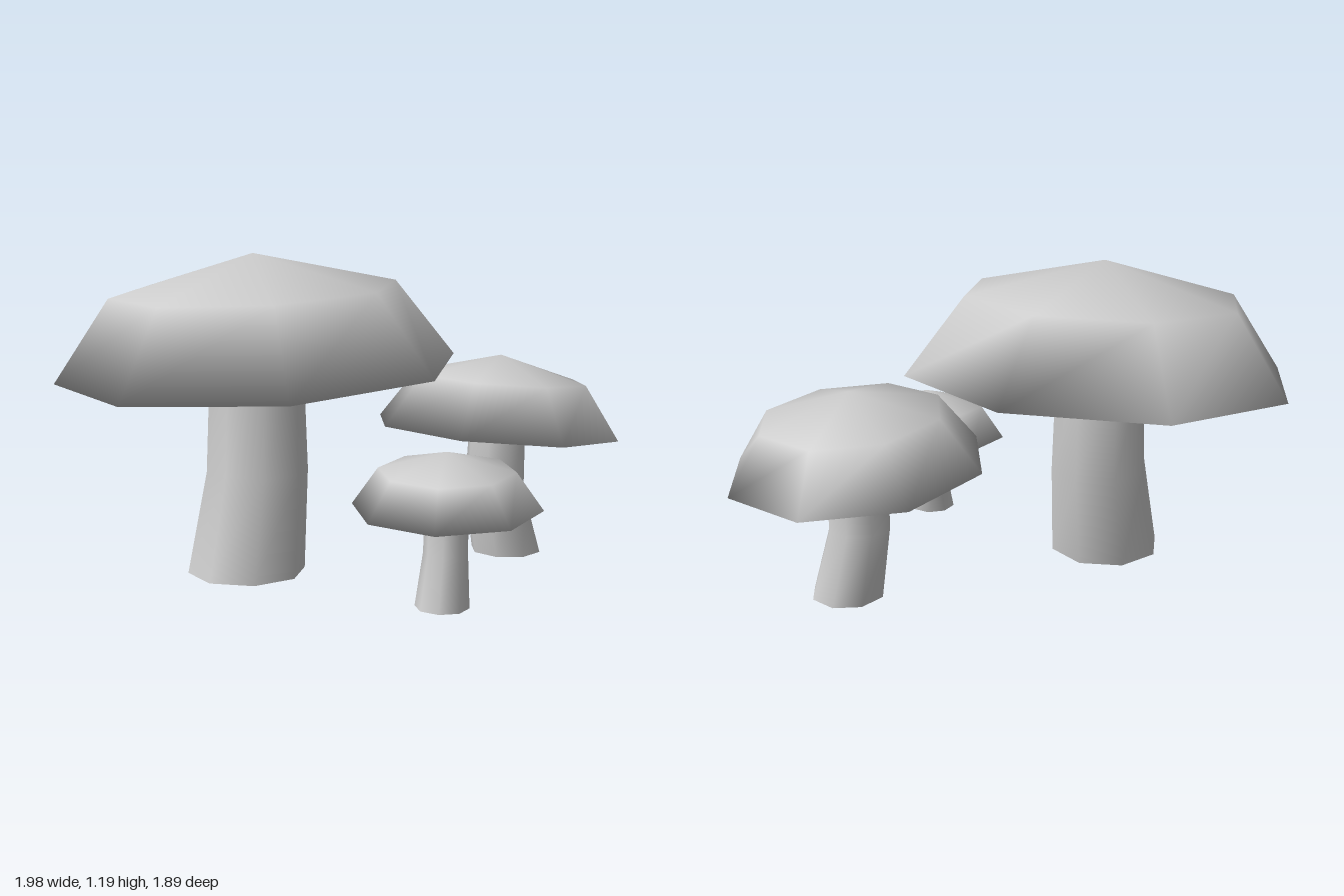
import * as THREE from 'three';

const SIDES = 8;

// Lofts smooth octagonal rings [x, y, z, radius]; optional apex point and flat underside
function loft(rings, phase, apex, closeBottom) {
  const pos = [], idx = [];
  for (const [x, y, z, r] of rings) {
    for (let i = 0; i < SIDES; i++) {
      const a = phase + (i / SIDES) * Math.PI * 2;
      pos.push(x + r * Math.cos(a), y, z + r * Math.sin(a));
    }
  }
  for (let k = 0; k < rings.length - 1; k++) {
    for (let i = 0; i < SIDES; i++) {
      const j = (i + 1) % SIDES, a = k * SIDES, b = a + SIDES;
      idx.push(a + i, b + i, a + j, b + i, b + j, a + j);
    }
  }
  if (apex) {
    const top = (rings.length - 1) * SIDES, tip = pos.length / 3;
    pos.push(...apex);
    for (let i = 0; i < SIDES; i++) idx.push(top + i, tip, top + ((i + 1) % SIDES));
  }
  if (closeBottom) for (let i = 1; i < SIDES - 1; i++) idx.push(0, i, i + 1);

  const g = new THREE.BufferGeometry();
  g.setAttribute('position', new THREE.Float32BufferAttribute(pos, 3));
  g.setIndex(idx);
  g.computeVertexNormals();
  return g;
}

// centre: middle of the cap rim; tilt: [about x, about z]; stem: rings from the ground up
const MUSHROOMS = [
  {
    name: 'largeMushroom', centre: [-0.25, 0.765, -0.2], radius: 0.753, phase: -5,
    shoulder: [0.535, 0.297], height: 0.43, tilt: [0, 0.073],
    stem: [[-0.34, 0.01, -0.19, 0.22], [-0.265, 0.38, -0.2, 0.192], [-0.263, 0.79, -0.2, 0.176]],
  },
  {
    name: 'mediumMushroom', centre: [0.52, 0.5, 0.355], radius: 0.485, phase: 27.5,
    shoulder: [0.343, 0.2], height: 0.29, tilt: [0.035, -0.063],
    stem: [[0.57, 0, 0.382, 0.14], [0.52, 0.26, 0.355, 0.12], [0.527, 0.52, 0.36, 0.113]],
  },
  {
    name: 'smallMushroom', centre: [-0.22, 0.35, 0.63], radius: 0.327, phase: 17,
    shoulder: [0.235, 0.13], height: 0.193, tilt: [0.03, 0.063],
    stem: [[-0.255, 0.01, 0.64, 0.094], [-0.22, 0.19, 0.628, 0.077], [-0.22, 0.365, 0.63, 0.075]],
  },
];

export function createModel() {
  const model = new THREE.Group();
  model.name = 'mushroomCluster';
  const grey = new THREE.MeshStandardMaterial({ color: 0xcccccc, side: THREE.DoubleSide });
  grey.name = 'lightGrey';

  for (const m of MUSHROOMS) {
    const group = new THREE.Group();
    group.name = m.name;
    const phase = THREE.MathUtils.degToRad(m.phase);

    // Faceted dome with a flat underside, tilted on its stem
    const [sr, sh] = m.shoulder;
    const cap = new THREE.Mesh(
      loft([[0, 0, 0, m.radius], [0, sh, 0, sr]], phase, [0, m.height, 0], true), grey);
    cap.name = 'cap';
    cap.position.set(...m.centre);
    cap.rotation.set(m.tilt[0], 0, m.tilt[1]);

    // Bent, open-ended stem
    const stem = new THREE.Mesh(loft(m.stem, phase), grey);
    stem.name = 'stem';

    group.add(cap, stem);
    model.add(group);
  }
  return model;
}
